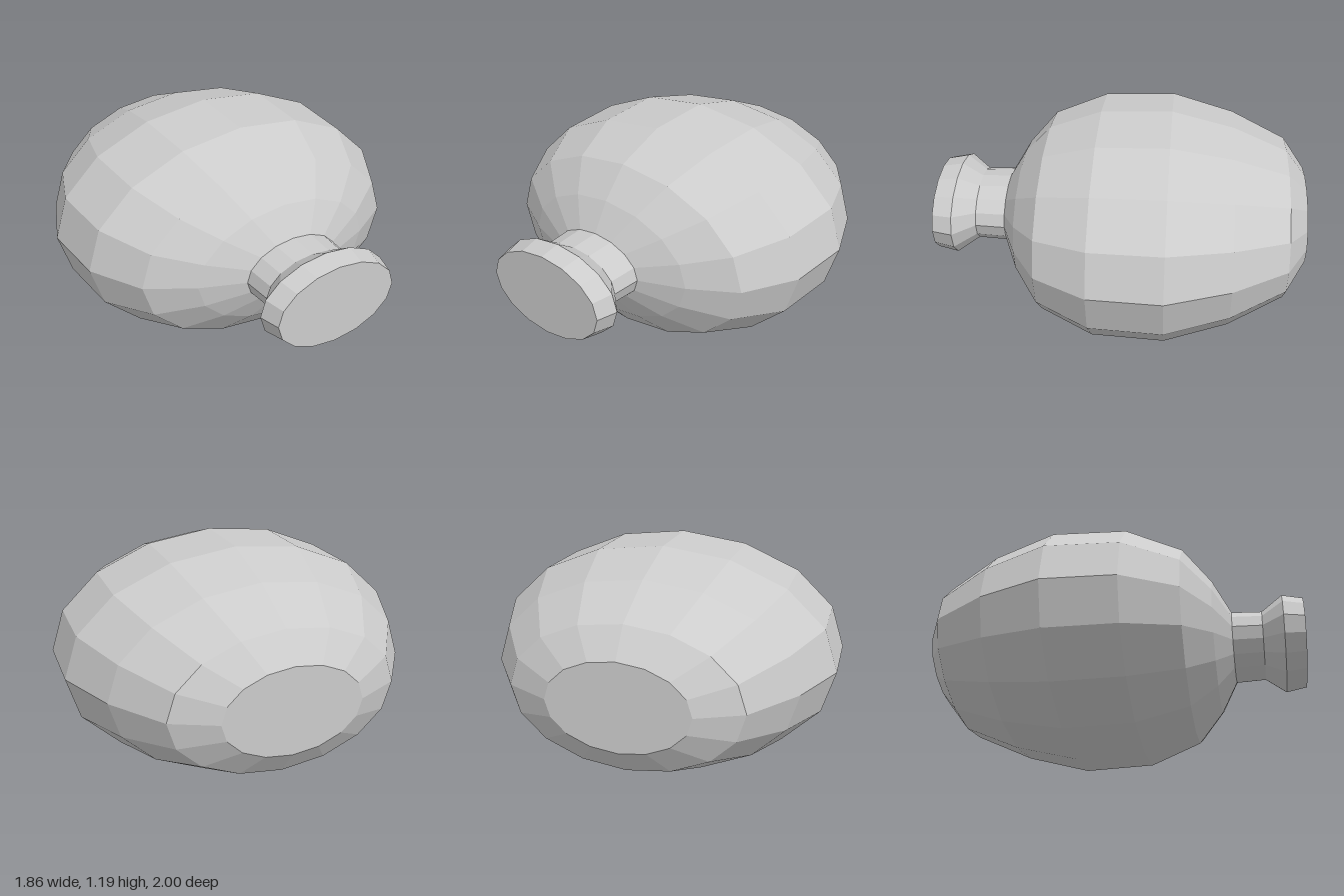
import * as THREE from 'three';

const CENTRE_Y = 0.6;  // height of the long axis
const FLATTEN = 0.64;  // height of each oval section relative to its width
const SIDES = 16;

// Each profile runs from back to front as [half width, z]
const PROFILES = {
  body: [[0, -1], [0.37, -1], [0.6, -0.89], [0.8, -0.6], [0.93, -0.27],
    [0.91, 0.11], [0.75, 0.39], [0.51, 0.53], [0.275, 0.62]],
  neck: [[0.275, 0.62], [0.265, 0.78]],
  stopper: [[0.265, 0.78], [0.375, 0.89], [0.345, 1], [0, 1]],
};

export function createModel() {
  const group = new THREE.Group();
  group.name = 'ovalFlask';
  const material = new THREE.MeshStandardMaterial({ color: 0xcccccc, flatShading: true });

  // Turn every section, lay it along z and squash it to an oval
  for (const [name, profile] of Object.entries(PROFILES)) {
    const points = profile.map(([r, z]) => new THREE.Vector2(r, z));
    const geometry = new THREE.LatheGeometry(points, SIDES)
      .rotateX(Math.PI / 2)
      .scale(1, FLATTEN, 1)
      .translate(0, CENTRE_Y, 0);
    const mesh = new THREE.Mesh(geometry, material);
    mesh.name = name;
    group.add(mesh);
  }
  return group;
}
